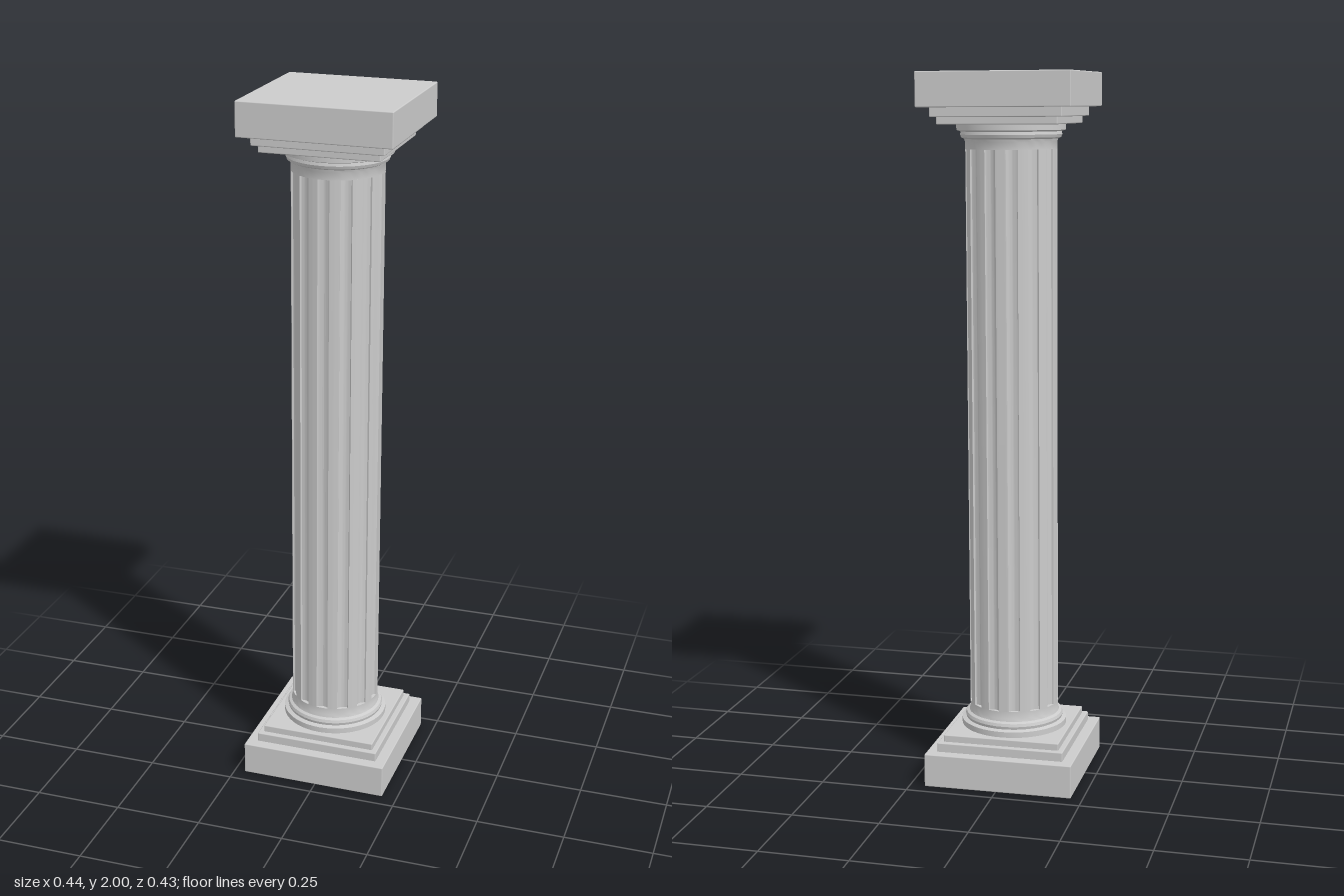
import * as THREE from 'three';
import { toCreasedNormals } from 'three/addons/utils/BufferGeometryUtils.js';
import { RoundedBoxGeometry } from 'three/addons/geometries/RoundedBoxGeometry.js';

const FLUTES = 13, R = 0.127, DEPTH = 0.011, HALF = 0.13;
const FLUTE_LOW = 0.21, FLUTE_HIGH = 1.79;

// Shaft outline: rounded lands separated by shallow scooped flutes
function flutedShape() {
  const pts = [];
  const step = (Math.PI * 2) / FLUTES;
  const add = (r, a) => pts.push(new THREE.Vector2(r * Math.cos(a), r * Math.sin(a)));
  for (let i = 0; i < FLUTES; i++) {
    const mid = i * step - Math.PI / 2; // first flute faces the front
    add(R, mid - HALF);
    for (let k = 0; k <= 6; k++) {
      const t = (k / 6) * 2 - 1;
      add(R - DEPTH * (1 - 0.55 * t * t), mid + t * HALF * 0.95);
    }
    for (let k = 0; k < 5; k++) add(R, mid + HALF + (k / 5) * (step - 2 * HALF));
  }
  return new THREE.Shape(pts);
}

export function createModel() {
  const model = new THREE.Group();
  model.name = 'column';
  const material = new THREE.MeshStandardMaterial({ color: 0xcccccc });

  // Everything hangs on a pivot at mid height, so the column can lean slightly
  const pivot = new THREE.Group();
  pivot.name = 'leaningColumn';
  pivot.position.y = 1;
  pivot.rotation.z = -0.0056;
  model.add(pivot);

  const add = (name, geometry, y) => {
    const mesh = new THREE.Mesh(geometry, material);
    mesh.name = name;
    mesh.position.y = y - 1;
    pivot.add(mesh);
    return mesh;
  };
  const slab = (name, half, y0, y1) =>
    add(name, new RoundedBoxGeometry(half * 2, y1 - y0, half * 2, 2, 0.003), (y0 + y1) / 2);

  // Fluted shaft
  const shaft = new THREE.ExtrudeGeometry(flutedShape(), {
    depth: FLUTE_HIGH - FLUTE_LOW, bevelEnabled: false,
  });
  shaft.rotateX(-Math.PI / 2);
  add('flutedShaft', toCreasedNormals(shaft, 0.45), FLUTE_LOW);

  // Round mouldings, measured as [radius, distance from the column's end]
  const profile = [
    [0, 0.14], [0.151, 0.14], [0.151, 0.158], [0.139, 0.162], [0.141, 0.17],
    [0.138, 0.178], [0.13, 0.182], [R, 0.19], [R, FLUTE_LOW], [0, FLUTE_LOW],
  ].map(([r, h]) => new THREE.Vector2(r, h));

  // Base and capital mirror one another
  for (const top of [false, true]) {
    const prefix = top ? 'capital' : 'base';
    const at = (h) => (top ? 2 - h : h);
    const tier = (part, half, a, b) =>
      slab(prefix + part, half, Math.min(at(a), at(b)), Math.max(at(a), at(b)));
    tier('Slab', 0.2125, 0.001, 0.096);
    tier('LowerStep', 0.182, 0.092, 0.122);
    tier('UpperStep', 0.167, 0.118, 0.142);
    const rings = new THREE.LatheGeometry(profile, 48);
    if (top) rings.rotateX(Math.PI);
    add(prefix + 'Mouldings', toCreasedNormals(rings, 0.5), at(0));
  }

  return model;
}
